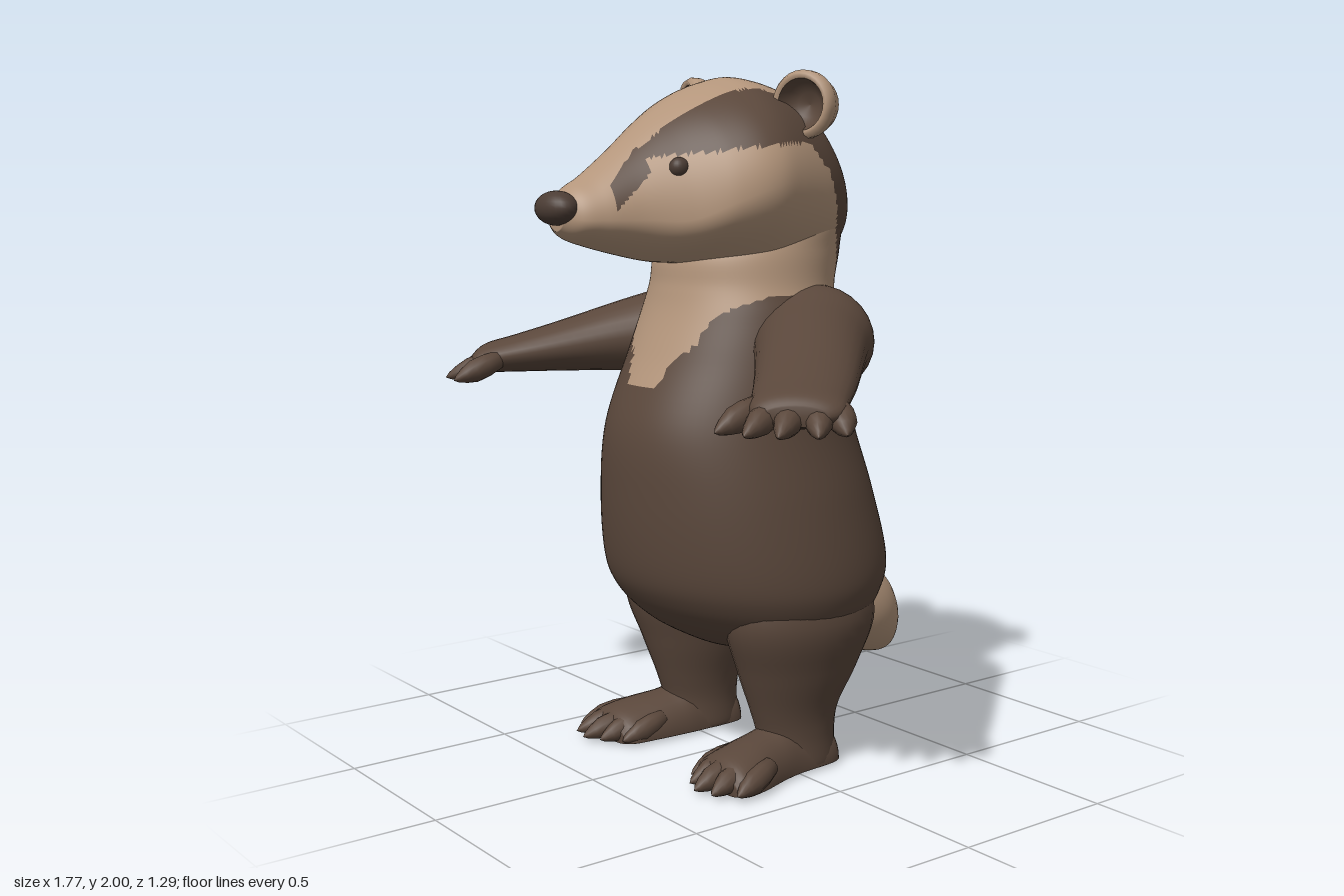
import * as THREE from 'three';

const fur = new THREE.MeshStandardMaterial({ color: 0x5a473b });
fur.name = 'dark brown fur';
const cream = new THREE.MeshStandardMaterial({ color: 0xb3957b });
cream.name = 'tan fur';
const noseSkin = new THREE.MeshStandardMaterial({ color: 0x4b3c34 });
noseSkin.name = 'nose and eye brown';

const V = (x, y, z) => new THREE.Vector3(x, y, z);

// Piecewise linear lookup through [t, value] pairs
function along(pairs, t) {
  if (t <= pairs[0][0]) return pairs[0][1];
  for (let i = 1; i < pairs.length; i++) {
    const [a, va] = pairs[i - 1], [b, vb] = pairs[i];
    if (t <= b) return va + (vb - va) * (t - a) / (b - a);
  }
  return pairs[pairs.length - 1][1];
}

// Smooth closed loft: rows of numbers are blended, ring(row, cos, sin) gives a point
function loft(rows, ring, steps, segs) {
  const pos = [], idx = [], n = rows.length - 1;
  const blend = (p0, p1, p2, p3, t) => p1 + 0.5 * t * (p2 - p0 +
    t * (2 * p0 - 5 * p1 + 4 * p2 - p3 + t * (3 * (p1 - p2) + p3 - p0)));
  for (let i = 0; i <= steps; i++) {
    const f = i / steps * n, k = Math.min(Math.floor(f), n - 1), t = f - k;
    const at = j => rows[Math.min(Math.max(j, 0), n)];
    const row = rows[0].map((_, c) => blend(at(k - 1)[c], at(k)[c], at(k + 1)[c], at(k + 2)[c], t));
    for (let j = 0; j < segs; j++) {
      const a = j / segs * Math.PI * 2;
      pos.push(...ring(row, Math.cos(a), Math.sin(a)));
    }
  }
  for (let i = 0; i < steps; i++) for (let j = 0; j < segs; j++) {
    const a = i * segs + j, b = i * segs + (j + 1) % segs;
    idx.push(a, b, a + segs, b, b + segs, a + segs);
  }
  // End caps
  for (const start of [0, steps * segs]) {
    const c = [0, 0, 0], m = pos.length / 3;
    for (let j = 0; j < segs; j++) for (let d = 0; d < 3; d++) c[d] += pos[(start + j) * 3 + d] / segs;
    pos.push(...c);
    for (let j = 0; j < segs; j++) {
      const a = start + j, b = start + (j + 1) % segs;
      if (start) idx.push(a, b, m); else idx.push(b, a, m);
    }
  }
  // Turn faces outward
  let volume = 0;
  const p = i => V(pos[i * 3], pos[i * 3 + 1], pos[i * 3 + 2]);
  for (let i = 0; i < idx.length; i += 3) volume += p(idx[i]).dot(p(idx[i + 1]).cross(p(idx[i + 2])));
  if (volume < 0) idx.reverse();
  const g = new THREE.BufferGeometry();
  g.setAttribute('position', new THREE.Float32BufferAttribute(pos, 3));
  g.setIndex(idx);
  g.computeVertexNormals();
  return g;
}

// Sort triangles into dark and tan groups by a marking rule
function paint(g, isDark) {
  const src = g.index.array, p = g.attributes.position, sorted = [[], []];
  for (let i = 0; i < src.length; i += 3) {
    const t = [src[i], src[i + 1], src[i + 2]];
    const mid = get => t.reduce((s, k) => s + get.call(p, k), 0) / 3;
    sorted[isDark(mid(p.getX), mid(p.getY), mid(p.getZ)) ? 0 : 1].push(...t);
  }
  g.setIndex([...sorted[0], ...sorted[1]]);
  g.addGroup(0, sorted[0].length, 0);
  g.addGroup(sorted[0].length, sorted[1].length, 1);
  return g;
}

// Fur markings of head, neck and chest
const bib = [[1.11, 0.05], [1.14, 0.075], [1.2, 0.1], [1.24, 0.15], [1.32, 0.18], [1.38, 0.27], [1.4, 1]];
const bandEdge = [[1.4, -0.24], [1.55, -0.2], [1.72, -0.13], [1.8, -0.05], [1.9, -0.03]];
const backStripe = [[1.42, 0], [1.46, 0.08], [1.55, 0.125], [1.7, 0.15], [1.85, 0.165]];
const stripeInner = [[-0.1, 0.17], [0.1, 0.14], [0.3, 0.09], [0.4, 0.075]];
const stripeLowLeft = [[-0.1, 1.8], [0.1, 1.79], [0.3, 1.765], [0.38, 1.755]];
const stripeLowRight = [[-0.1, 1.8], [0.15, 1.78], [0.22, 1.73], [0.28, 1.67], [0.38, 1.63]];
function markings(x, y, z) {
  const ax = Math.abs(x);
  if (y < 1.4) return y < 1.11 || z < -0.24 || ax > along(bib, y) || (z < 0 && y < 1.37);
  if (z < along(bandEdge, y)) return ax > along(backStripe, y) || y < 1.42;
  if (x > 0 && Math.abs(z - 0.43) < 0.05 && Math.abs(y - 1.7 + (z - 0.43)) < 0.035) return true;
  return z < 0.385 && ax > along(stripeInner, z) && y > along(x > 0 ? stripeLowLeft : stripeLowRight, z);
}

export function createModel() {
  const model = new THREE.Group();
  const add = (name, geometry, material, parent = model) => {
    const m = new THREE.Mesh(geometry, material);
    m.name = name;
    parent.add(m);
    return m;
  };
  const ball = (name, mat, at, size) => {
    const m = add(name, new THREE.SphereGeometry(1, 24, 16), mat);
    m.position.copy(at);
    m.scale.copy(size);
    return m;
  };

  // Torso and neck: y, half width, front z, back z
  const torso = [
    [0.31, 0.03, -0.02, -0.1], [0.33, 0.13, 0.07, -0.21], [0.37, 0.27, 0.16, -0.31], [0.42, 0.37, 0.24, -0.38],
    [0.5, 0.42, 0.32, -0.44], [0.6, 0.43, 0.365, -0.465], [0.8, 0.4, 0.385, -0.42], [1, 0.355, 0.375, -0.36],
    [1.2, 0.325, 0.295, -0.315], [1.32, 0.3, 0.25, -0.3], [1.4, 0.275, 0.23, -0.305],
    [1.5, 0.265, 0.21, -0.33], [1.6, 0.25, 0.1, -0.33], [1.72, 0.18, 0, -0.29], [1.78, 0.05, -0.08, -0.18]];
  add('torso', paint(loft(torso, ([y, w, f, b], c, s) =>
    [w * c, y, (f + b) / 2 + (f - b) / 2 * s], 98, 96), markings), [fur, cream]);

  // Head: z, half width, bottom y, widest y, top y
  const head = [
    [-0.335, 0.03, 1.55, 1.6, 1.64], [-0.31, 0.14, 1.48, 1.6, 1.75], [-0.25, 0.22, 1.44, 1.63, 1.85],
    [-0.15, 0.28, 1.4, 1.66, 1.945], [0, 0.33, 1.4, 1.69, 1.985], [0.1, 0.343, 1.43, 1.68, 1.97],
    [0.2, 0.305, 1.46, 1.64, 1.93], [0.3, 0.225, 1.47, 1.59, 1.87], [0.4, 0.162, 1.49, 1.59, 1.79],
    [0.5, 0.12, 1.515, 1.59, 1.715], [0.56, 0.088, 1.535, 1.59, 1.68], [0.595, 0.04, 1.56, 1.6, 1.64]];
  add('head', paint(loft(head, ([z, w, lo, mid, hi], c, s) =>
    [w * c * Math.abs(c) ** 0.12, mid + s * (s > 0 ? hi - mid : mid - lo), z], 99, 112), markings), [fur, cream]);
  ball('nose', noseSkin, V(0, 1.622, 0.592), V(0.077, 0.047, 0.052));

  // Tail with dark root: z, y, radius
  const tail = [[-0.34, 0.47, 0.1], [-0.38, 0.45, 0.125], [-0.44, 0.4, 0.138], [-0.5, 0.345, 0.132],
    [-0.56, 0.285, 0.102], [-0.605, 0.235, 0.055], [-0.63, 0.208, 0.01]];
  add('tail', paint(loft(tail, ([z, y, r], c, s) => [r * c * 1.04, y + r * s * 0.69, z - r * s * 0.72], 36, 32),
    (x, y, z) => 0.69 * z + 0.72 * y > 0.0), [fur, cream]);

  // Tapered finger or toe between two points
  const digitShape = [[0, -0.5], [0.8, -0.4], [1, -0.15], [1, 0.1], [0.7, 0.28], [0.35, 0.42], [0, 0.5]];
  const digit = (name, from, to, r, parent) => {
    const g = new THREE.LatheGeometry(digitShape.map(([a, b]) => new THREE.Vector2(a, b)), 12);
    const m = add(name, g, fur, parent), d = to.clone().sub(from);
    m.position.copy(from).addScaledVector(d, 0.5);
    m.quaternion.setFromUnitVectors(V(0, 1, 0), d.clone().normalize());
    m.scale.set(r, d.length(), r);
  };

  const earOuter = [[0, -0.09], [0.045, -0.083], [0.078, -0.055], [0.094, -0.01], [0.095, 0.015], [0.085, 0.032], [0.072, 0.025]];
  const earInner = [[0.072, 0.025], [0.06, -0.005], [0.035, -0.025], [0, -0.032]];

  for (const s of [1, -1]) {
    const side = s > 0 ? 'left' : 'right';
    ball(side + 'Eye', noseSkin, V(s * 0.172, 1.73, 0.31), V(0.026, 0.028, 0.028));

    // Cupped ear
    const ear = new THREE.Group();
    ear.name = side + 'Ear';
    ear.position.set(s * 0.255, 1.903, -0.06);
    ear.rotation.set(0, s * 0.35, 0);
    model.add(ear);
    for (const [name, pts, mat] of [['earShell', earOuter, cream], ['earLining', earInner, fur]]) {
      const g = new THREE.LatheGeometry(pts.map(([a, b]) => new THREE.Vector2(a, b)), 28);
      add(name, g.rotateX(Math.PI / 2), mat, ear);
    }

    // Arm: x, y, z, half breadth, half thickness
    const arm = [
      [0.14, 1.24, -0.18, 0.1, 0.1], [0.2, 1.24, -0.14, 0.16, 0.155], [0.28, 1.245, -0.08, 0.17, 0.155],
      [0.36, 1.235, 0, 0.16, 0.13], [0.46, 1.215, 0.09, 0.148, 0.108], [0.6, 1.18, 0.22, 0.135, 0.078],
      [0.7, 1.155, 0.32, 0.125, 0.058], [0.765, 1.14, 0.385, 0.118, 0.045], [0.79, 1.13, 0.41, 0.08, 0.025]];
    add(side + 'Arm', loft(arm, ([x, y, z, h, v], c, n) =>
      [s * (x + h * c * 0.707), y + v * n, z - h * c * 0.707], 40, 28), fur);
    const tips = [[0.885, 0.325], [0.872, 0.405], [0.815, 0.485], [0.75, 0.54], [0.66, 0.56]];
    tips.forEach(([x, z], i) => {
      const k = i / 4 - 0.5;
      digit('finger', V(s * (0.71 - k * 0.13), 1.15, 0.33 + k * 0.13), V(s * x, 1.088, z), 0.035, model);
    });

    // Leg: y, centre x, half width, centre z, half depth
    const leg = [[0.62, 0.24, 0.12, -0.05, 0.22], [0.45, 0.25, 0.163, -0.06, 0.25], [0.3, 0.24, 0.14, -0.06, 0.2],
      [0.18, 0.235, 0.108, -0.05, 0.145], [0.1, 0.235, 0.098, -0.055, 0.125], [0.02, 0.235, 0.1, -0.06, 0.125], [0.006, 0.235, 0.09, -0.06, 0.115]];
    add(side + 'Leg', loft(leg, ([y, x, w, z, d], c, n) => [s * (x + w * c), y, z + d * n], 36, 32), fur);

    // Foot: z, centre x, half width, height
    const foot = [[-0.18, 0.235, 0.04, 0.05], [-0.14, 0.235, 0.09, 0.1], [0, 0.24, 0.1, 0.13], [0.08, 0.25, 0.108, 0.115],
      [0.17, 0.268, 0.12, 0.1], [0.24, 0.278, 0.122, 0.08], [0.27, 0.28, 0.1, 0.05]];
    add(side + 'Foot', loft(foot, ([z, x, w, h], c, n) => [s * (x + w * c), n > 0 ? 0.01 + h * n : 0.01 + 0.01 * n, z], 30, 28), fur);
    const toes = [[0.175, 0.28], [0.23, 0.325], [0.285, 0.35], [0.345, 0.335], [0.4, 0.285]];
    toes.forEach(([x, z]) =>
      digit('toe', V(s * (0.26 + (x - 0.28) * 0.7), 0.065, z - 0.17), V(s * x, 0.018, z), 0.034, model));
  }
  return model;
}
